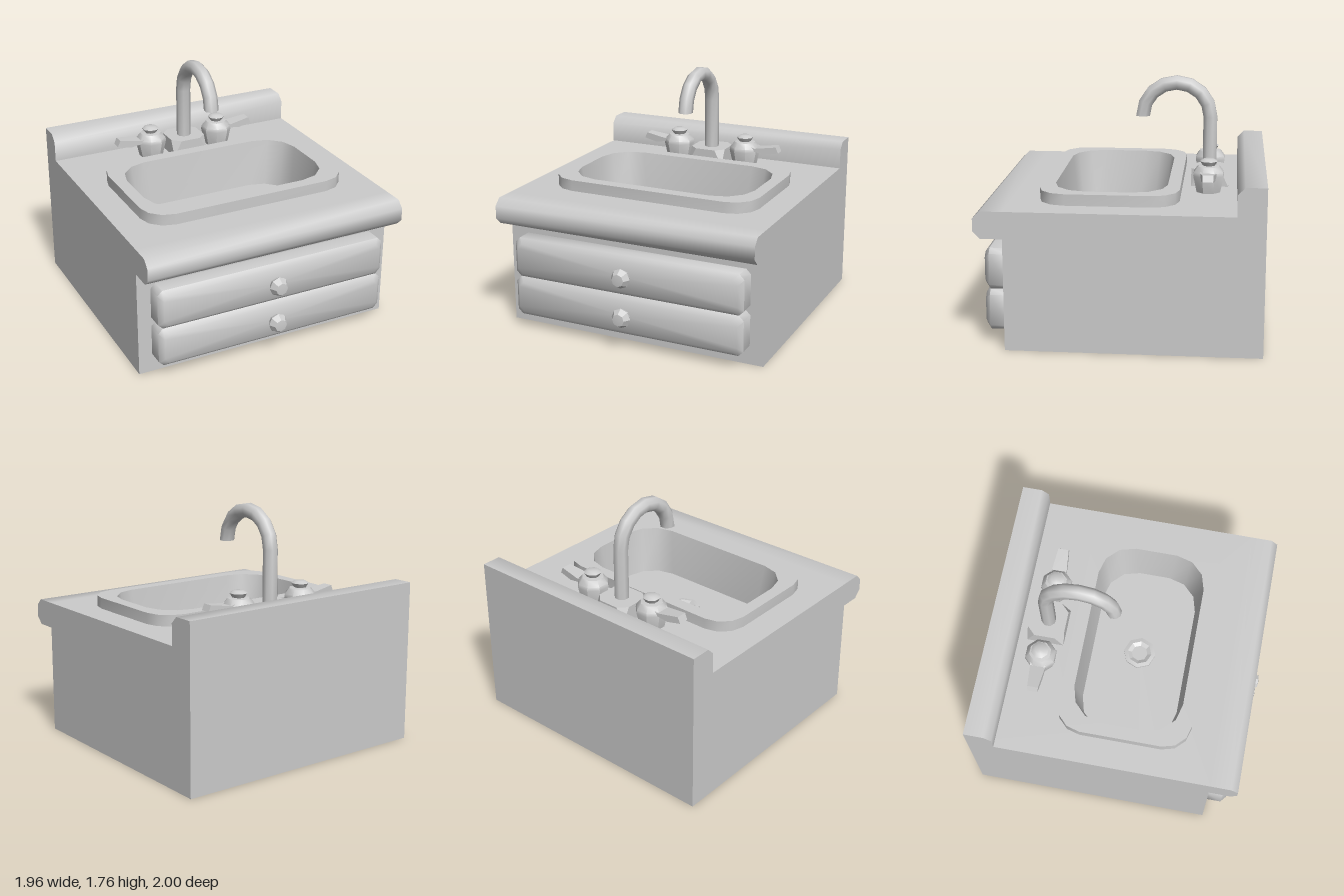
import * as THREE from 'three';
import { toCreasedNormals } from 'three/addons/utils/BufferGeometryUtils.js';
import { ConvexGeometry } from 'three/addons/geometries/ConvexGeometry.js';

const material = new THREE.MeshStandardMaterial({ color: 0xcccccc });
const V = (x, y, z) => new THREE.Vector3(x, y, z);
const shapeOf = (pts) => new THREE.Shape(pts.map(([a, b]) => new THREE.Vector2(a, b)));

function add(parent, name, geometry, crease = 0.9) {
  const mesh = new THREE.Mesh(toCreasedNormals(geometry, crease), material);
  mesh.name = name;
  parent.add(mesh);
  return mesh;
}

// Skin over matching rings, counter-clockwise seen from the direction of travel.
function loft(rings, capStart, capEnd) {
  const points = [];
  const n = rings[0].length;
  for (let i = 0; i < rings.length - 1; i++) {
    for (let j = 0; j < n; j++) {
      const k = (j + 1) % n;
      const [a, b, c, d] = [rings[i][j], rings[i][k], rings[i + 1][k], rings[i + 1][j]];
      points.push(a, b, c, a, c, d);
    }
  }
  const cap = (ring, flip) => {
    const mid = ring.reduce((s, p) => s.add(p), V(0, 0, 0)).divideScalar(n);
    ring.forEach((p, j) => {
      const q = ring[(j + 1) % n];
      points.push(mid, ...(flip ? [q, p] : [p, q]));
    });
  };
  if (capStart) cap(rings[0], true);
  if (capEnd) cap(rings[rings.length - 1], false);
  return new THREE.BufferGeometry().setFromPoints(points);
}

// Horizontal rounded rectangle, three facets per corner.
function basinRing(hx, hz, r, y, cz = 0.075) {
  const ring = [];
  [[1, 1], [-1, 1], [-1, -1], [1, -1]].forEach(([sx, sz], q) => {
    for (let i = 0; i <= 3; i++) {
      const t = (q + i / 3) * Math.PI / 2;
      ring.push(V(sx * (hx - r) + r * Math.cos(t), y, cz - sz * (hz - r) - r * Math.sin(t)));
    }
  });
  return ring;
}

// Extrude a (z, y) profile across the cabinet width.
function acrossWidth(profile, width) {
  return new THREE.ExtrudeGeometry(shapeOf(profile), { depth: width, bevelEnabled: false })
    .rotateY(-Math.PI / 2).translate(width / 2, 0, 0);
}

function lathe(profile) {
  return new THREE.LatheGeometry(profile.map(([r, y]) => new THREE.Vector2(r, y)), 8);
}

function addCabinet(group) {
  const W = 1.96;
  add(group, 'cabinetBody', new THREE.BoxGeometry(W, 0.7, 1.76).translate(0, 0.35, -0.12));
  // counter with the basin opening
  const slab = shapeOf([[-W / 2, -0.76], [W / 2, -0.76], [W / 2, 1], [-W / 2, 1]]);
  slab.holes.push(new THREE.Path(
    basinRing(0.74, 0.44, 0.21, 0).map((p) => new THREE.Vector2(p.x, -p.z))));
  add(group, 'counter', new THREE.ExtrudeGeometry(slab, { depth: 0.28, bevelEnabled: false })
    .rotateX(-Math.PI / 2).translate(0, 0.7, 0));
  add(group, 'counterNose', acrossWidth(
    [[0.76, 0.79], [0.91, 0.79], [0.96, 0.84], [0.96, 0.93], [0.91, 0.98], [0.76, 0.98]], W));
  add(group, 'backsplash', acrossWidth(
    [[-1, 0.98], [-0.805, 0.98], [-0.805, 1.13], [-0.855, 1.18], [-1, 1.18]], W));
}

function addDrawer(group, y) {
  const drawer = new THREE.Group();
  drawer.name = 'drawer';
  drawer.position.y = y;
  group.add(drawer);
  const c = 0.035;
  const ring = (hx, hy, z) => [
    [hx, -hy + c], [hx, hy - c], [hx - c, hy], [-hx + c, hy],
    [-hx, hy - c], [-hx, -hy + c], [-hx + c, -hy], [hx - c, -hy],
  ].map(([px, py]) => V(px, py, z));
  add(drawer, 'drawerFront', loft(
    [ring(0.88, 0.146, 0.75), ring(0.88, 0.146, 0.875), ring(0.845, 0.111, 0.91)], true, true));
  add(drawer, 'drawerKnob', lathe(
    [[0.05, 0.89], [0.05, 0.915], [0.072, 0.95], [0.045, 0.995], [0, 1]]).rotateX(Math.PI / 2), 0.6);
}

function addBasin(group) {
  add(group, 'basin', loft([
    basinRing(0.78, 0.485, 0.19, 0.98), basinRing(0.78, 0.485, 0.19, 1.06),
    basinRing(0.69, 0.395, 0.24, 1.06), basinRing(0.65, 0.355, 0.24, 0.71),
  ], false, true));
  add(group, 'drain', lathe(
    [[0.12, 0.71], [0.12, 0.725], [0.09, 0.73], [0.06, 0.715], [0, 0.715]]), 0.3)
    .position.z = 0.075;
}

function addFaucet(group) {
  // square foot narrowing to cut corners at the top
  const foot = [];
  for (const sx of [-1, 1]) for (const sz of [-1, 1]) {
    foot.push(V(sx * 0.138, 0.98, sz * 0.135), V(sx * 0.138, 1.1, sz * 0.075), V(sx * 0.078, 1.1, sz * 0.135));
  }
  add(group, 'faucetFoot', new ConvexGeometry(foot), 0.2).position.z = -0.605;

  // gooseneck spout
  const X = V(1, 0, 0);
  const ringAt = (centre, tangent) => {
    const side = tangent.clone().cross(X);
    return Array.from({ length: 8 }, (_, i) => {
      const t = (i + 0.5) * Math.PI / 4;
      return centre.clone().addScaledVector(X, 0.054 * Math.cos(t)).addScaledVector(side, 0.054 * Math.sin(t));
    });
  };
  const rings = [ringAt(V(0, 1.05, -0.6), V(0, 1, 0))];
  for (let i = 0; i <= 8; i++) {
    const t = i * Math.PI / 8;
    rings.push(ringAt(
      V(0, 1.47 + 0.245 * Math.sin(t), -0.355 - 0.245 * Math.cos(t)), V(0, Math.cos(t), Math.sin(t))));
  }
  add(group, 'spout', loft(rings, false, true));
}

function addTap(group, side) {
  const tap = new THREE.Group();
  tap.name = side > 0 ? 'leftTap' : 'rightTap';
  tap.position.set(side * 0.278, 0, -0.6);
  tap.rotation.y = side > 0 ? 0 : Math.PI;
  group.add(tap);
  add(tap, 'tapBody', lathe([
    [0.09, 0.98], [0.117, 1.1], [0.112, 1.125], [0.08, 1.165], [0.045, 1.17],
    [0.064, 1.2], [0.036, 1.217], [0, 1.217],
  ]).rotateY(Math.PI / 8), 0.7);
  // lever, tapering in width away from the body
  const lever = new THREE.ExtrudeGeometry(shapeOf(
    [[0.03, 1.1], [0.1, 1.105], [0.18, 1.09], [0.285, 1.11], [0.265, 1.155], [0.1, 1.13], [0.03, 1.155]]),
    { depth: 2, bevelEnabled: false }).translate(0, 0, -1);
  const p = lever.attributes.position;
  for (let i = 0; i < p.count; i++) {
    p.setZ(i, p.getZ(i) * THREE.MathUtils.mapLinear(p.getX(i), 0.03, 0.285, 0.062, 0.037));
  }
  add(tap, 'tapLever', lever, 0.4);
}

export function createModel() {
  const group = new THREE.Group();
  group.name = 'sinkCabinet';
  addCabinet(group);
  for (const y of [0.25, 0.543]) addDrawer(group, y);
  addBasin(group);
  addFaucet(group);
  for (const side of [-1, 1]) addTap(group, side);
  return group;
}
